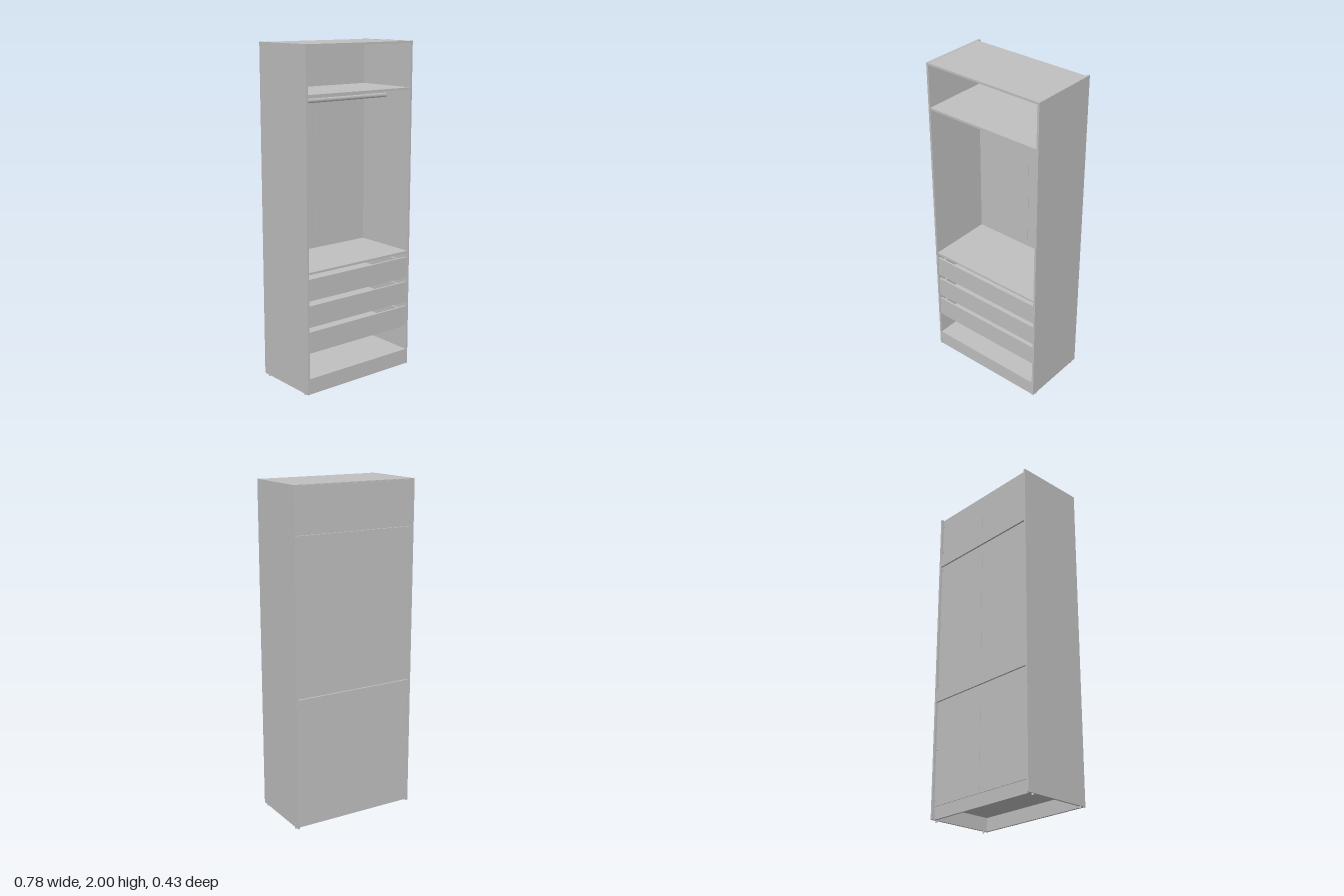
import * as THREE from 'three';

export function createModel() {
  const root = new THREE.Group();
  root.name = 'wardrobe';
  const grey = new THREE.MeshStandardMaterial({ color: 0xc0c0c0 });
  grey.name = 'grey board';

  // Box given by its limits on each axis
  function board(name, x0, x1, y0, y1, z0, z1, parent = root) {
    const mesh = new THREE.Mesh(new THREE.BoxGeometry(x1 - x0, y1 - y0, z1 - z0), grey);
    mesh.position.set((x0 + x1) / 2, (y0 + y1) / 2, (z0 + z1) / 2);
    mesh.name = name;
    parent.add(mesh);
    return mesh;
  }
  // Short cylinder along the chosen axis
  function disc(name, r, h, x, y, z, axis, parent = root) {
    const geo = new THREE.CylinderGeometry(r, r, h, 16);
    if (axis === 'x') geo.rotateZ(Math.PI / 2);
    if (axis === 'z') geo.rotateX(Math.PI / 2);
    const mesh = new THREE.Mesh(geo, grey);
    mesh.position.set(x, y, z);
    mesh.name = name;
    parent.add(mesh);
    return mesh;
  }

  const W = 0.39, IN = 0.377, FRONT = 0.213, BACK = -0.2;

  // Side panels, feet and the small fixing caps on their outer faces
  const caps = [];
  for (const y of [1.99, 1.722, 0.732, 0.097]) caps.push([y, 0.16], [y, -0.145]);
  caps.push([1.7, -0.21], [1.67, -0.21], [0.775, -0.21], [0.75, -0.21], [0.03, -0.18], [0.05, 0.205]);
  for (const s of [1, -1]) {
    const name = s > 0 ? 'left' : 'right';
    board(name + 'SidePanel', Math.min(s * IN, s * W), Math.max(s * IN, s * W), 0.01, 2, -0.217, 0.215);
    for (const z of [0.18, -0.18]) disc('foot', 0.006, 0.01, s * 0.3835, 0.005, z, 'y');
    for (const [y, z] of caps) disc('fixingCap', 0.0035, 0.002, s * W, y, z, 'x');
  }

  // Horizontal panels
  board('topPanel', -IN, IN, 1.987, 1.999, BACK, FRONT);
  board('upperShelf', -IN, IN, 1.718, 1.731, BACK, FRONT);
  board('middleShelf', -IN, IN, 0.727, 0.74, BACK, FRONT);
  board('bottomShelf', -IN, IN, 0.092, 0.105, BACK, FRONT);

  // Plinth boards
  board('frontPlinth', -IN, IN, 0.01, 0.092, 0.2, FRONT);
  board('backPlinth', -IN, IN, 0.01, 0.092, -0.2, -0.187);

  // Back: thin sheets, joining strip and the rails behind them
  for (const s of [1, -1]) {
    board('backSheet', s > 0 ? 0 : -IN, s > 0 ? IN : 0, 0.085, 1.995, -0.204, -0.2);
  }
  board('backJoiningStrip', -0.004, 0.004, 0.105, 1.987, -0.2055, -0.1985);
  board('upperBackRail', -IN, IN, 1.645, 1.729, -0.215, -0.204);
  board('lowerBackRail', -IN, IN, 0.718, 0.803, -0.215, -0.204);

  // Back sheet fasteners
  for (const y of [1.95, 1.76, 1.62, 1.23, 0.83, 0.69, 0.42, 0.12]) {
    for (const s of [1, -1]) disc('backFastener', 0.005, 0.004, s * 0.371, y, -0.206, 'z');
  }
  for (const y of [1.982, 0.11]) disc('backFastener', 0.004, 0.004, 0, y, -0.206, 'z');

  // Oval hanging rod with end sockets
  const rod = disc('hangingRod', 0.0125, 2 * IN, 0, 1.672, 0, 'x');
  rod.scale.z = 0.55;
  for (const s of [1, -1]) {
    const socket = disc('rodSocket', 0.0155, 0.008, s * (IN - 0.004), 1.672, 0, 'x');
    socket.scale.z = 0.65;
  }

  // Three drawers with runners
  for (const [bottom, top] of [[0.26, 0.387], [0.415, 0.543], [0.572, 0.7]]) {
    const drawer = new THREE.Group();
    drawer.name = 'drawer';
    root.add(drawer);
    const xo = 0.363, xi = 0.351;
    board('drawerFront', -0.375, 0.375, bottom, top, 0.199, 0.212, drawer);
    board('drawerBottom', -xi, xi, bottom + 0.015, bottom + 0.02, -0.17, 0.199, drawer);
    board('drawerBack', -xi, xi, bottom + 0.01, top - 0.02, -0.182, -0.17, drawer);
    for (const s of [1, -1]) {
      board('drawerSide', s > 0 ? xi : -xo, s > 0 ? xo : -xi, bottom + 0.01, top - 0.02, -0.182, 0.199, drawer);
      board('drawerRunner', s > 0 ? xo : -IN, s > 0 ? IN : -xo, bottom + 0.045, bottom + 0.065, -0.18, 0.195, drawer);
    }
  }
  return root;
}
